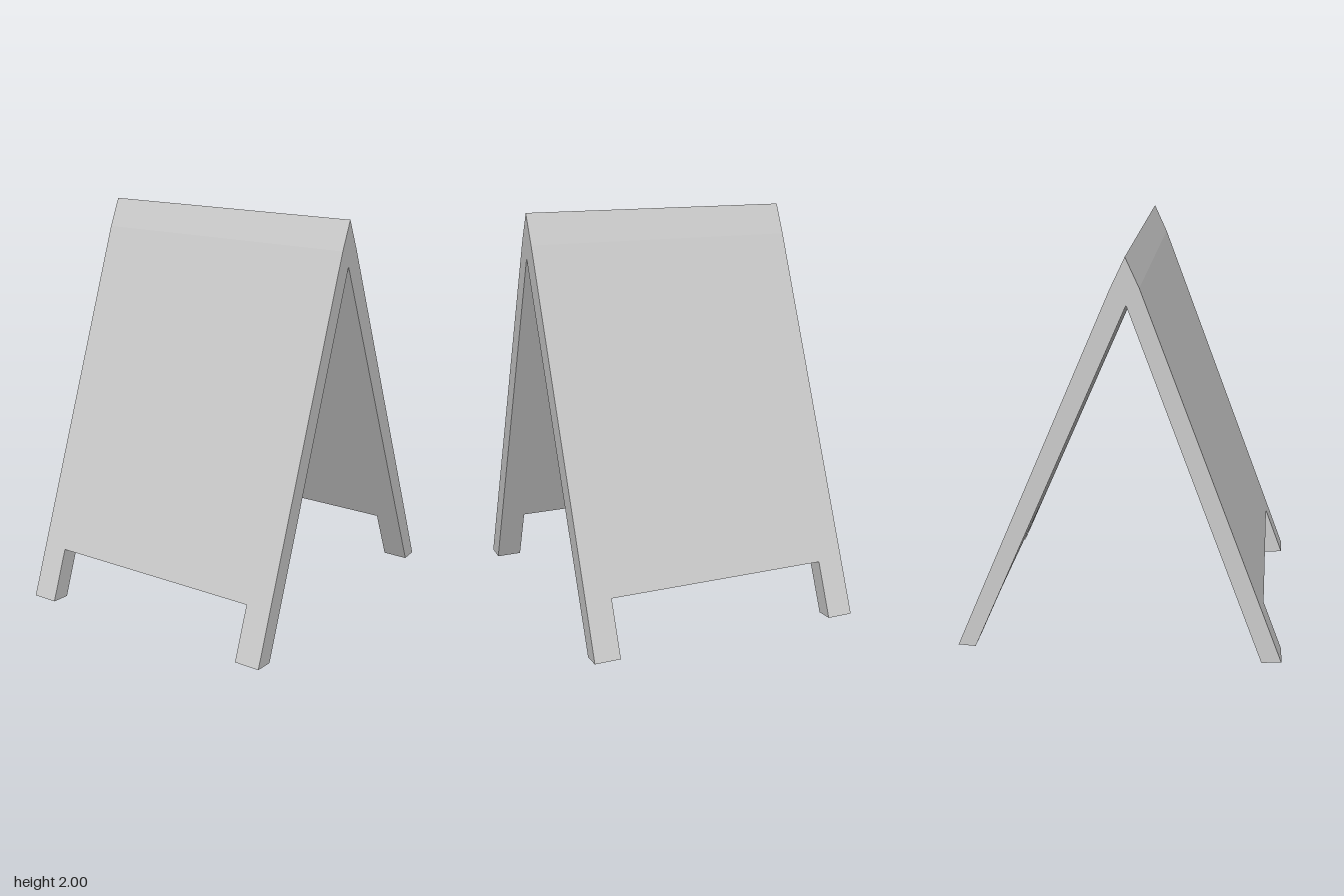
import * as THREE from 'three';

const HALF_WIDTH = 0.695;
const LEG_INNER = 0.565; // half width of the cut-out between the legs
const CUT = 0.265;       // height of the lower edge of the panels

const material = new THREE.MeshStandardMaterial({ color: 0xcccccc, flatShading: true });

// Side profile given as [z, y] points, extruded along x from x0 to x1
function slab(name, profile, x0, x1) {
  const shape = new THREE.Shape(profile.map(([z, y]) => new THREE.Vector2(-z, y)));
  const geometry = new THREE.ExtrudeGeometry(shape, { depth: x1 - x0, bevelEnabled: false });
  geometry.rotateY(Math.PI / 2).translate(x0, 0, 0);
  const mesh = new THREE.Mesh(geometry, material);
  mesh.name = name;
  return mesh;
}

export function createModel() {
  const group = new THREE.Group();
  group.name = 'sandwichBoard';

  // Two leaning panels joined at the ridge
  group.add(slab('panels', [
    [0.71, CUT], [0.105, 1.86], [0.04, 2], [-0.03, 1.85], [-0.698, CUT],
    [-0.606, CUT], [0.045, 1.78], [0.611, CUT],
  ], -HALF_WIDTH, HALF_WIDTH));

  // Legs continue the panels down to the ground
  const legs = {
    front: [[0.807, 0.008], [0.71, CUT], [0.611, CUT], [0.71, 0]],
    back: [[-0.807, 0.004], [-0.698, CUT], [-0.606, CUT], [-0.72, 0]],
  };
  for (const [side, profile] of Object.entries(legs)) {
    group.add(slab(side + 'LeftLeg', profile, LEG_INNER, HALF_WIDTH));
    group.add(slab(side + 'RightLeg', profile, -HALF_WIDTH, -LEG_INNER));
  }
  return group;
}
